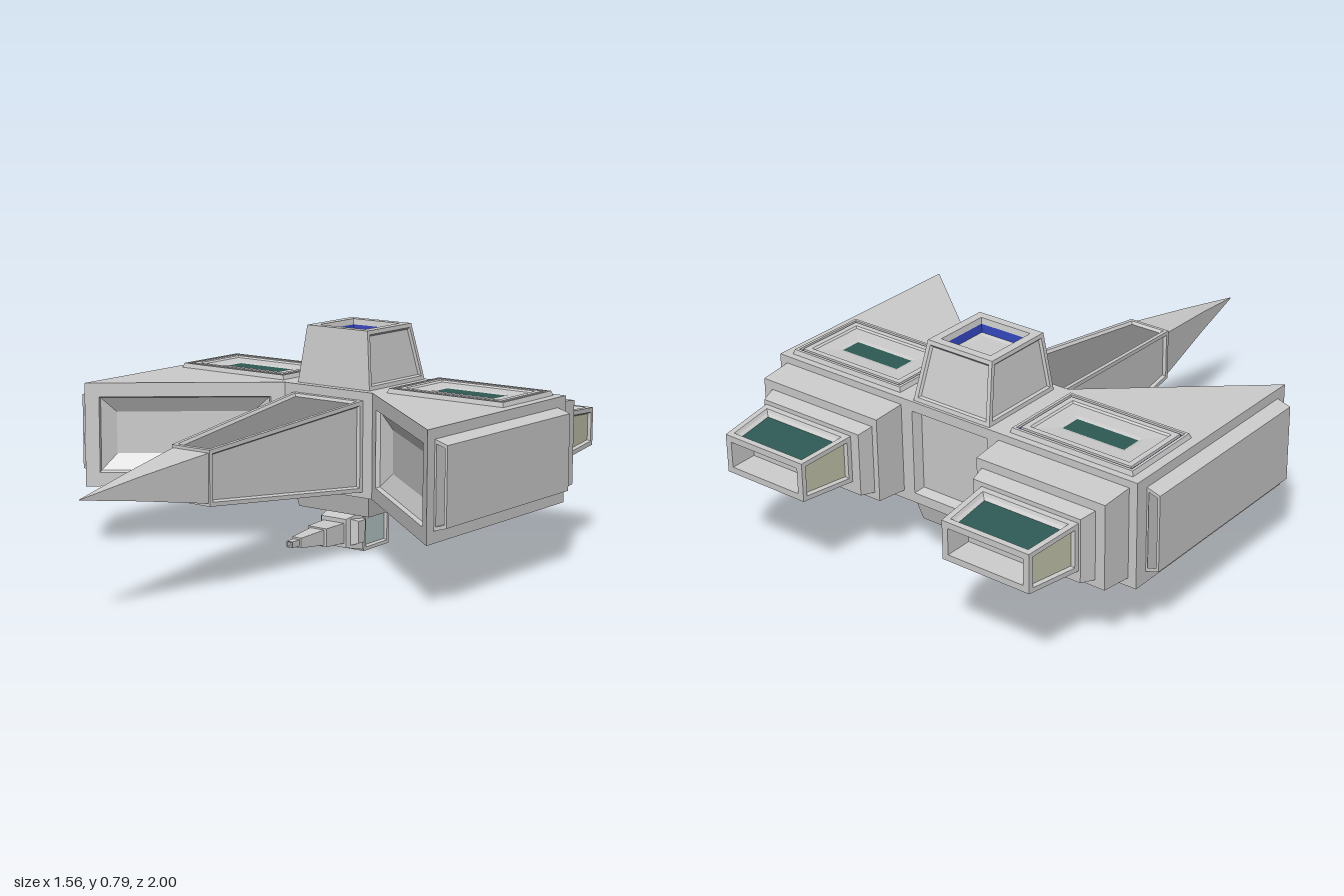
import * as THREE from 'three';

const GREY = 0xcccccc, TEAL = 0x2f5a55, BLUE = 0x2f3fae, DARK = 0x808080, GLASS = 0xb4c4c4, SAND = 0xc4c4ac;

// Corner indices (x + 2y + 4z) of each face, counter-clockwise from outside
const FACES = {
  left: [5, 1, 3, 7], right: [0, 4, 6, 2], top: [6, 7, 3, 2],
  bottom: [0, 1, 5, 4], front: [4, 5, 7, 6], back: [1, 0, 2, 3],
};

// Shrinks a quad by a distance in its own plane and shifts it along its normal
function insetQuad(q, inset, depth) {
  const n = q[2].clone().sub(q[0]).cross(q[3].clone().sub(q[1])).normalize();
  return q.map((p, i) => {
    const u = q[(i + 1) % 4].clone().sub(p).normalize();
    const v = q[(i + 3) % 4].clone().sub(p).normalize();
    const sin = u.clone().cross(v).length();
    return p.clone().addScaledVector(u.add(v), inset / sin).addScaledVector(n, depth);
  });
}

// Six-sided block; details = { face: { rings: [[inset, depth, color]], cap: color } }
function block(name, corners, details = {}, side = 1) {
  const byColor = new Map();
  const quad = (a, b, c, d, color = GREY) => {
    if (!byColor.has(color)) byColor.set(color, []);
    const order = side > 0 ? [a, b, c, a, c, d] : [a, c, b, a, d, c];
    for (const p of order) byColor.get(color).push(p.x * side, p.y, p.z);
  };
  for (const [face, ids] of Object.entries(FACES)) {
    const base = ids.map((i) => corners[i]);
    const { rings = [], cap } = details[face] ?? {};
    let prev = base;
    for (const [inset, depth, color] of rings) {
      const next = insetQuad(base, inset, depth);
      for (let i = 0; i < 4; i++) {
        const j = (i + 1) % 4;
        quad(prev[i], prev[j], next[j], next[i], color);
      }
      prev = next;
    }
    quad(...prev, cap);
  }
  const group = new THREE.Group();
  group.name = name;
  for (const [color, positions] of byColor) {
    const geo = new THREE.BufferGeometry();
    geo.setAttribute('position', new THREE.Float32BufferAttribute(positions, 3));
    geo.computeVertexNormals();
    const mesh = new THREE.Mesh(geo, new THREE.MeshStandardMaterial({ color }));
    mesh.name = color === GREY ? name + 'Shell' : name + 'Inlay';
    group.add(mesh);
  }
  return group;
}

const V = (x, y, z) => new THREE.Vector3(x, y, z);
const each = (f) => Array.from({ length: 8 }, (_, i) => f(i & 1, (i >> 1) & 1, i >> 2));
// Blocks lofted along one axis between two rectangles
const alongZ = (back, front) => each((x, y, z) => {
  const s = z ? front : back;   // [x0, x1, y0, y1, z]
  return V(s[x], s[2 + y], s[4]);
});
const alongY = (low, high) => each((x, y, z) => {
  const s = y ? high : low;     // [x0, x1, z0, z1, y]
  return V(s[x], s[4], s[2 + z]);
});
const alongX = (inner, outer) => each((x, y, z) => {
  const s = x ? outer : inner;  // [y0, y1, z0, z1, x]
  return V(s[4], s[y], s[2 + z]);
});
const recess = (border, bevel, depth, cap) => ({ rings: [[border, 0], [border + bevel, -depth]], cap });

function sideParts(s) {
  const parts = [];
  const add = (name, corners, details) => parts.push(block(name, corners, details, s));

  // Wing with swept front intake
  add('wing', alongX([0.22, 0.59, -0.62, -0.25, 0.19], [0.22, 0.59, -0.62, 0.2, 0.73]), {
    front: { rings: [[0.05, 0], [0.055, -0.015], [0.11, -0.045]] },
  });

  // Hollow side rail, open at both ends
  const rail = new THREE.Shape([[0.73, 0.26], [0.778, 0.275], [0.778, 0.54], [0.73, 0.555]]
    .map(([x, y]) => new THREE.Vector2(x * s, y)));
  rail.holes.push(new THREE.Path([[0.737, 0.275], [0.769, 0.285], [0.769, 0.53], [0.737, 0.54]]
    .map(([x, y]) => new THREE.Vector2(x * s, y))));
  const railMesh = new THREE.Mesh(
    new THREE.ExtrudeGeometry(rail, { depth: 0.73, bevelEnabled: false }),
    new THREE.MeshStandardMaterial({ color: GREY }));
  railMesh.position.z = -0.57;
  railMesh.name = 'sideRail';
  parts.push(railMesh);

  // Roof hatch with blue trim and central slot
  add('hatch', alongY([0.225, 0.695, -0.595, -0.285, 0.59], [0.23, 0.69, -0.59, -0.29, 0.606]), {
    top: {
      rings: [[0.01, 0], [0.011, -0.008], [0.019, -0.008, BLUE], [0.02, 0], [0.04, 0],
        [0.046, -0.006], [0.1, -0.009], [0.112, -0.013]],
      cap: TEAL,
    },
  });

  // Stepped engine housing
  add('engineHousing', alongZ([0.205, 0.695, 0.26, 0.555, -0.735], [0.2, 0.7, 0.25, 0.565, -0.62]));
  add('engineCollar', alongZ([0.235, 0.645, 0.295, 0.515, -0.79], [0.225, 0.66, 0.285, 0.525, -0.735]));

  // Nozzle with sunken panels and an open rear
  const panel = recess(0.016, 0.006, 0.01, SAND);
  add('nozzle', alongZ([0.285, 0.615, 0.35, 0.485, -1], [0.268, 0.638, 0.335, 0.5, -0.79]), {
    top: { rings: [[0.02, 0], [0.026, -0.01], [0.036, -0.018]], cap: TEAL },
    left: panel, right: panel,
    back: recess(0.022, 0.006, 0.09),
  });
  return parts;
}

export function createModel() {
  const model = new THREE.Group();
  model.name = 'spacecraft';
  const add = (name, corners, details) => model.add(block(name, corners, details));

  // Central hull with sunken rear door
  add('centralHull', alongZ([-0.19, 0.19, 0.22, 0.59, -0.62], [-0.19, 0.19, 0.22, 0.59, -0.25]), {
    back: recess(0.035, 0.01, 0.035),
  });

  // Mirrored wings
  for (const [s, name] of [[1, 'leftSide'], [-1, 'rightSide']]) {
    const group = new THREE.Group();
    group.name = name;
    group.add(...sideParts(s));
    model.add(group);
  }

  // Nose with sunken panels, then a spike in two segments
  const nosePanel = recess(0.014, 0.006, 0.01);
  add('nose', alongZ([-0.15, 0.15, 0.24, 0.56, -0.25], [-0.08, 0.08, 0.305, 0.49, 0.48]), {
    top: recess(0.014, 0.006, 0.01, DARK), bottom: nosePanel, left: nosePanel, right: nosePanel,
  });
  add('noseSpikeBase', alongZ([-0.075, 0.075, 0.315, 0.48, 0.48], [-0.034, 0.034, 0.365, 0.443, 0.76]));
  add('noseSpikeTip', alongZ([-0.034, 0.034, 0.365, 0.443, 0.76], [-0.001, 0.001, 0.404, 0.406, 1]));

  // Tower with open roof and blue inner trim
  const towerPanel = recess(0.014, 0.006, 0.008);
  add('tower', alongY([-0.155, 0.155, -0.61, -0.28, 0.59], [-0.13, 0.13, -0.56, -0.3, 0.793]), {
    top: { rings: [[0.03, 0], [0.034, -0.02], [0.042, -0.045, BLUE], [0.055, -0.05]] },
    left: towerPanel, right: towerPanel, back: towerPanel,
  });

  // Belly mount
  add('turretMount', alongY([-0.152, 0.152, -0.585, -0.285, 0.145], [-0.165, 0.165, -0.605, -0.265, 0.22]));

  // Turret with side windows
  const glass = recess(0.012, 0.006, 0.008, GLASS);
  add('turret', alongZ([-0.077, 0.077, 0.003, 0.142, -0.51], [-0.077, 0.077, 0, 0.145, -0.36]), {
    left: glass, right: glass, back: glass,
  });
  for (const s of [1, -1]) {
    model.add(block('turretCheek', alongX([0.025, 0.125, -0.36, -0.3, 0.05], [0.035, 0.115, -0.36, -0.32, 0.083]), {}, s));
  }

  // Gun barrel, each step [half width, half height, rear z, front z, front scale]
  const steps = [
    [0.072, 0.068, -0.36, -0.285, 0.75],
    [0.045, 0.036, -0.285, -0.19, 0.9],
    [0.03, 0.027, -0.19, -0.075, 0.65],
    [0.013, 0.011, -0.075, -0.035, 1],
  ];
  steps.forEach(([w, h, z0, z1, k], i) => {
    const y = 0.073;
    add('gunBarrelStep', alongZ([-w, w, y - h, y + h, z0], [-w * k, w * k, y - h * k, y + h * k, z1]),
      i === 3 ? { front: recess(0.003, 0.001, 0.02) } : {});
  });
  return model;
}
